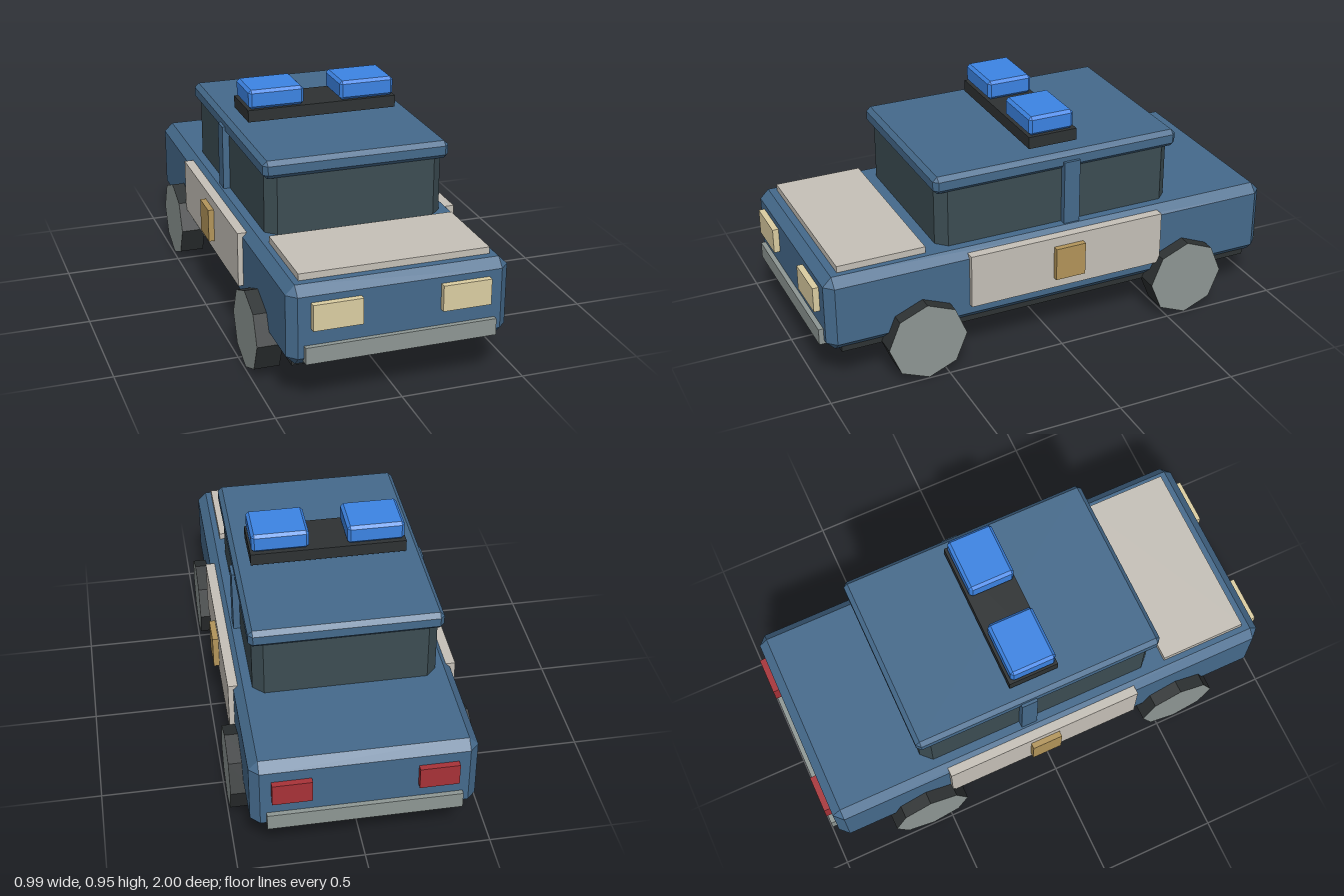
import * as THREE from 'three';
import { ConvexGeometry } from 'three/addons/geometries/ConvexGeometry.js';

const mat = (color) => new THREE.MeshStandardMaterial({ color, flatShading: true });

export function createModel() {
  const car = new THREE.Group();
  car.name = 'patrolCar';

  const paint = mat(0x456a8c), glass = mat(0x3c4d53), dark = mat(0x2e3233);
  const panel = mat(0xc6c1b8), metal = mat(0x8e9794), cream = mat(0xdccea2);
  const red = mat(0xa83238), blue = mat(0x3c84e4), gold = mat(0xb3955a);

  const add = (name, geometry, material) => {
    const mesh = new THREE.Mesh(geometry, material);
    mesh.name = name;
    car.add(mesh);
    return mesh;
  };

  // Plain box given by its limits on each axis
  const box = (name, material, [x0, x1], [y0, y1], [z0, z1]) => {
    const mesh = add(name, new THREE.BoxGeometry(x1 - x0, y1 - y0, z1 - z0), material);
    mesh.position.set((x0 + x1) / 2, (y0 + y1) / 2, (z0 + z1) / 2);
    return mesh;
  };

  // Box with every edge chamfered by r
  const chamferBox = (name, material, [x0, x1], [y0, y1], [z0, z1], r) => {
    const a = (x1 - x0) / 2, b = (y1 - y0) / 2, c = (z1 - z0) / 2;
    const points = [];
    for (const i of [-1, 1]) for (const j of [-1, 1]) for (const k of [-1, 1]) {
      points.push(
        new THREE.Vector3(i * a, j * (b - r), k * (c - r)),
        new THREE.Vector3(i * (a - r), j * b, k * (c - r)),
        new THREE.Vector3(i * (a - r), j * (b - r), k * c));
    }
    const mesh = add(name, new ConvexGeometry(points), material);
    mesh.position.set((x0 + x1) / 2, (y0 + y1) / 2, (z0 + z1) / 2);
    return mesh;
  };

  // Body, cabin and roof
  box('chassis', dark, [-0.41, 0.41], [0.16, 0.22], [-0.915, 0.915]);
  chamferBox('body', paint, [-0.44, 0.44], [0.178, 0.498], [-0.975, 0.975], 0.036);
  chamferBox('cabinGlass', glass, [-0.368, 0.368], [0.44, 0.79], [-0.552, 0.483], 0.042);
  chamferBox('roof', paint, [-0.384, 0.384], [0.735, 0.808], [-0.57, 0.5], 0.018);
  box('hoodPanel', panel, [-0.38, 0.38], [0.48, 0.525], [0.543, 0.908]);

  // Bumpers
  box('frontBumper', metal, [-0.38, 0.38], [0.197, 0.265], [0.95, 0.995]);
  box('rearBumper', metal, [-0.38, 0.38], [0.197, 0.265], [-0.995, -0.95]);

  // Roof light bar
  box('lightBar', dark, [-0.318, 0.318], [0.822, 0.872], [-0.142, 0.068]);

  const wheelGeometry = new THREE.CylinderGeometry(0.165, 0.165, 0.103, 8).rotateZ(Math.PI / 2);

  // Parts repeated on both sides
  for (const s of [-1, 1]) {
    const side = s > 0 ? 'left' : 'right';
    const span = (a, b) => (s > 0 ? [a, b] : [-b, -a]);
    box(side + 'DoorPanel', panel, span(0.42, 0.461), [0.253, 0.48], [-0.47, 0.383]);
    box(side + 'DoorBadge', gold, span(0.45, 0.485), [0.3, 0.44], [-0.108, 0.022]);
    box(side + 'Pillar', paint, span(0.355, 0.396), [0.48, 0.77], [-0.122, -0.053]);
    box(side + 'Headlight', cream, span(0.158, 0.353), [0.331, 0.436], [0.95, 1]);
    box(side + 'TailLight', red, span(0.205, 0.36), [0.325, 0.418], [-1, -0.95]);
    chamferBox(side + 'Beacon', blue, span(0.078, 0.312), [0.872, 0.952], [-0.132, 0.063], 0.012);
    for (const e of [-1, 1]) {
      const wheel = add(side + (e > 0 ? 'Front' : 'Rear') + 'Wheel', wheelGeometry, [dark, metal, metal]);
      wheel.position.set(s * 0.4425, 0.165, e * 0.585);
    }
  }
  return car;
}
